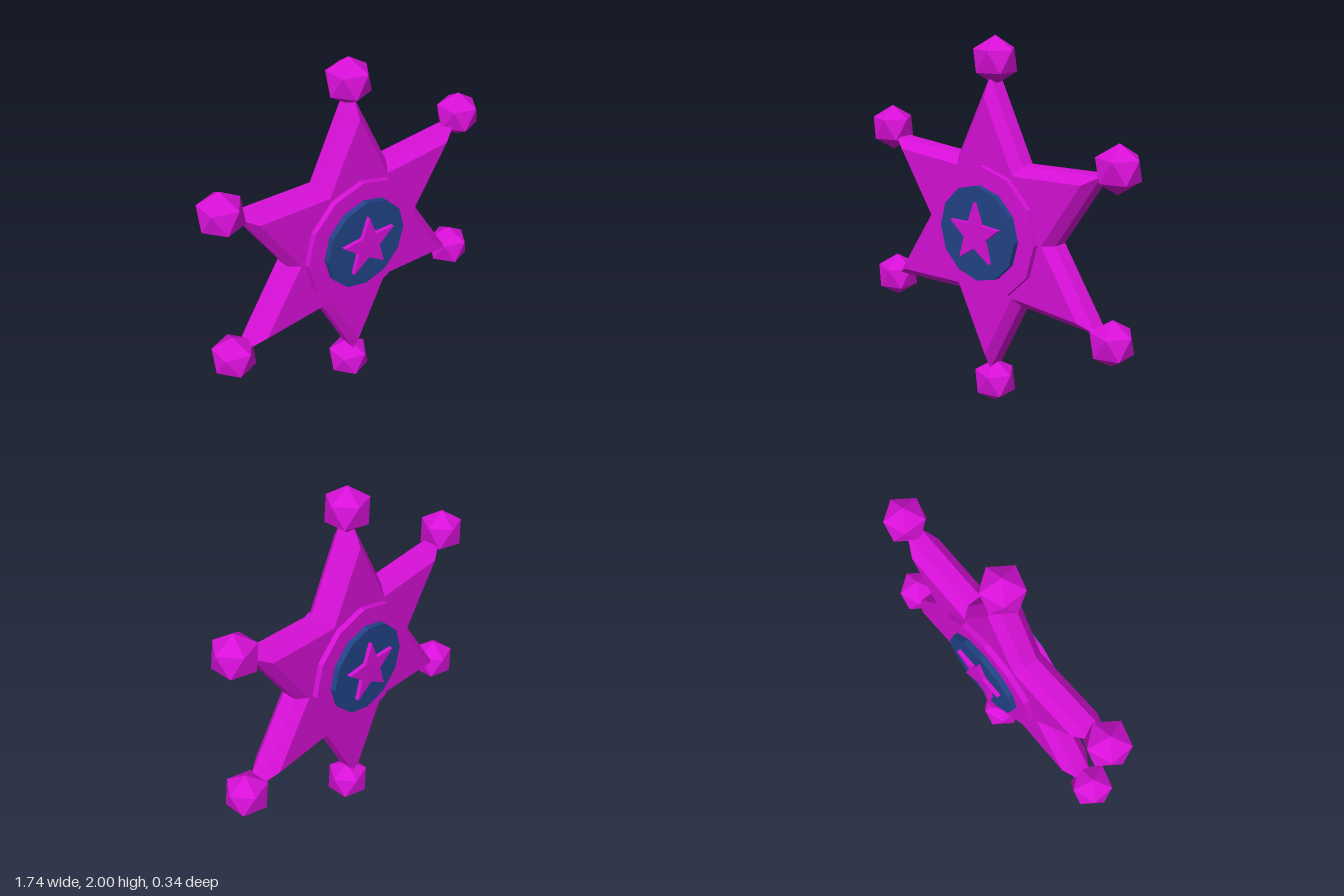
import * as THREE from 'three';

// Outline of a star with one point straight up, counter-clockwise
function starPoints(n, outer, inner) {
  return Array.from({ length: n * 2 }, (_, i) => {
    const a = Math.PI / 2 + (i * Math.PI) / n;
    const r = i % 2 ? inner : outer;
    return new THREE.Vector2(r * Math.cos(a), r * Math.sin(a));
  });
}

// Solid from one outline repeated at several depths: sections are [z, scale], back to front
function loftOutline(points, sections) {
  const n = points.length;
  const pos = [];
  const at = (s, i) => [points[i % n].x * s[1], points[i % n].y * s[1], s[0]];
  const tri = (a, b, c) => pos.push(...a, ...b, ...c);
  const back = sections[0];
  const front = sections[sections.length - 1];
  for (let i = 0; i < n; i++) {
    for (let k = 0; k < sections.length - 1; k++) {
      const s = sections[k], t = sections[k + 1];
      tri(at(s, i), at(s, i + 1), at(t, i + 1));
      tri(at(s, i), at(t, i + 1), at(t, i));
    }
    tri([0, 0, front[0]], at(front, i), at(front, i + 1));
    tri([0, 0, back[0]], at(back, i + 1), at(back, i));
  }
  const g = new THREE.BufferGeometry();
  g.setAttribute('position', new THREE.Float32BufferAttribute(pos, 3));
  g.computeVertexNormals();
  return g;
}

export function createModel() {
  const magenta = new THREE.MeshStandardMaterial({ color: 0xd810d8, flatShading: true });
  magenta.name = 'magenta';
  const blue = new THREE.MeshStandardMaterial({ color: 0x224488, flatShading: true });
  blue.name = 'navy blue';

  const model = new THREE.Group();
  model.name = 'starBadge';
  const add = (name, geometry, material, x = 0, y = 1) => {
    const mesh = new THREE.Mesh(geometry, material);
    mesh.name = name;
    mesh.position.set(x, y, 0);
    model.add(mesh);
  };

  // Six-pointed body with chamfered front and back edges
  add('starBody', loftOutline(starPoints(6, 0.8, 0.43),
    [[-0.086, 0.874], [-0.04, 1], [0.04, 1], [0.086, 0.874]]), magenta);

  // Twelve-sided discs, stepped towards both faces
  const disc = (r, depth) => new THREE.CylinderGeometry(r, r, depth, 12).rotateX(Math.PI / 2);
  add('outerDisc', disc(0.354, 0.234), magenta);
  add('innerDisc', disc(0.254, 0.296), blue);

  // Small five-pointed emblem, raised on both faces
  add('centreStar', loftOutline(starPoints(5, 0.173, 0.073), [[-0.17, 1], [0.17, 1]]), magenta);

  // Faceted ball on each point, turned so a corner is straight up
  const ball = new THREE.IcosahedronGeometry(0.124, 0).rotateZ(-Math.atan(2 / (1 + Math.sqrt(5))));
  for (let i = 0; i < 6; i++) {
    const a = Math.PI / 2 + (i * Math.PI) / 3;
    add('tipBall' + (i + 1), ball, magenta, 0.876 * Math.cos(a), 1 + 0.876 * Math.sin(a));
  }
  return model;
}
